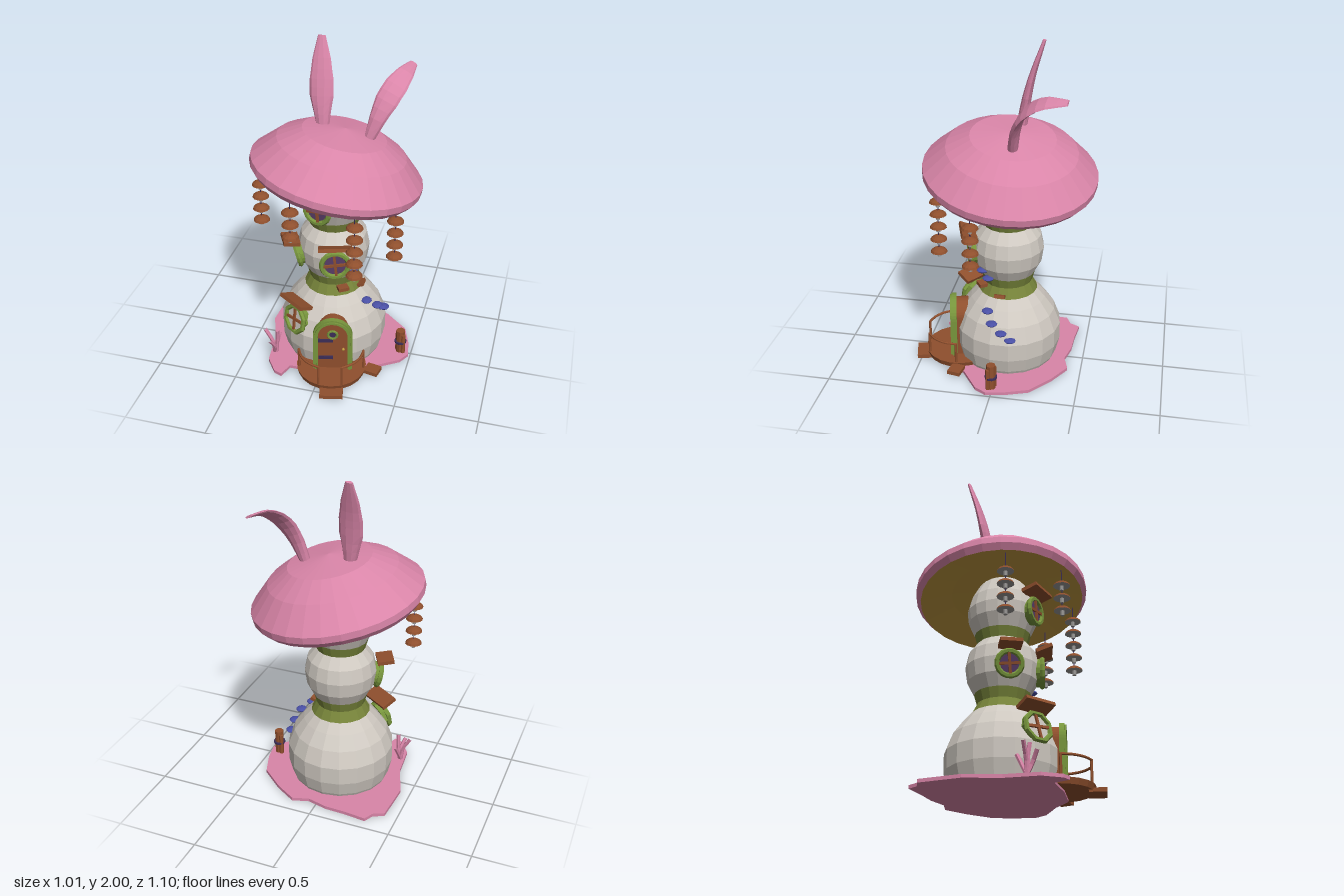
import * as THREE from 'three';

const mat = (name, color) => {
  const m = new THREE.MeshStandardMaterial({ color });
  m.name = name;
  return m;
};
const V = (x, y, z) => new THREE.Vector3(x, y, z);

export function createModel() {
  const root = new THREE.Group();
  root.name = 'mushroomTower';
  const pink = mat('pink', 0xd985a8), plaster = mat('plaster', 0xcfc9c1);
  const moss = mat('moss', 0x77843a), leaf = mat('leafGreen', 0x77953c);
  const wood = mat('wood', 0x8f4f2d), gill = mat('gill', 0xc0983f);
  const violet = mat('violet', 0x3b2d58), glass = mat('purpleGlass', 0x573c66);
  const blue = mat('blue', 0x4a50a6), grey = mat('grey', 0x9a9896);

  // faceted mesh helper
  const add = (parent, name, geo, material, x = 0, y = 0, z = 0, rx = 0, ry = 0, rz = 0) => {
    const g = geo.index ? geo.toNonIndexed() : geo;
    g.computeVertexNormals();
    const mesh = new THREE.Mesh(g, material);
    mesh.name = name;
    mesh.position.set(x, y, z);
    mesh.rotation.set(rx, ry, rz);
    parent.add(mesh);
    return mesh;
  };
  const group = (parent, name, x = 0, y = 0, z = 0) => {
    const g = new THREE.Group();
    g.name = name;
    g.position.set(x, y, z);
    parent.add(g);
    return g;
  };
  const box = (w, h, d) => new THREE.BoxGeometry(w, h, d);
  const cyl = (a, b, h, n = 8) => new THREE.CylinderGeometry(a, b, h, n);
  const lathe = (pts, n) => new THREE.LatheGeometry(pts.map(p => new THREE.Vector2(...p)), n);

  // ground plate with wavy outline, given as x, z
  const outline = [[.49, .03], [.47, -.08], [.42, -.22], [.28, -.34], [.15, -.42], [.05, -.39], [-.07, -.42],
    [-.2, -.425], [-.33, -.44], [-.36, -.38], [-.425, -.35], [-.44, -.1], [-.37, .1], [-.35, .3],
    [-.28, .4], [-.23, .42], [-.2, .33], [0, .33], [.2, .3], [.3, .2], [.45, .1]];
  const plate = new THREE.Shape(outline.map(([x, z]) => new THREE.Vector2(x, -z)));
  add(root, 'groundPlate', new THREE.ExtrudeGeometry(plate, { depth: .02, bevelEnabled: false }), pink, 0, 0, 0, -Math.PI / 2);

  // three bulging storeys joined by mossy necks
  const storeys = [
    ['lowerStorey', plaster, [[.29, .01], [.305, .04], [.327, .13], [.328, .24], [.29, .34], [.23, .42], [.18, .475]]],
    ['lowerNeck', moss, [[.18, .475], [.148, .535], [.165, .595]]],
    ['middleStorey', plaster, [[.165, .595], [.205, .67], [.218, .76], [.2, .845], [.148, .91]]],
    ['upperNeck', moss, [[.148, .91], [.166, .97]]],
    ['upperStorey', plaster, [[.166, .97], [.202, 1.05], [.21, 1.12], [.19, 1.2], [.145, 1.28], [.1, 1.35]]],
  ];
  for (const [name, m, pts] of storeys) add(root, name, lathe(pts, 18), m, -.01, 0, -.02);

  // tilted cap
  const cap = group(root, 'cap', -.007, 1.195, -.028);
  cap.quaternion.setFromUnitVectors(V(0, 1, 0), V(.18, 1, -.1).normalize());
  add(cap, 'capTop', lathe([[.487, 0], [.514, .035], [.514, .075], [.385, .207], [.25, .287], [0, .322]], 30), pink);
  add(cap, 'capUnderside', lathe([[0, .1], [.3, .06], [.487, 0]], 30), gill);

  // ears: oval cross-sections swept along a curve
  const ear = (name, path, side, widths, thick) => {
    const curve = new THREE.CatmullRomCurve3(path.map(p => V(...p)));
    const rings = 10, n = 10, pos = [], idx = [];
    const pick = (a, t) => {
      const f = t * (a.length - 1), i = Math.min(Math.floor(f), a.length - 2);
      return THREE.MathUtils.lerp(a[i], a[i + 1], f - i);
    };
    for (let i = 0; i <= rings; i++) {
      const t = i / rings, p = curve.getPoint(t), tan = curve.getTangent(t);
      const s = side.clone().addScaledVector(tan, -side.dot(tan)).normalize();
      const d = s.clone().cross(tan);
      for (let j = 0; j < n; j++) {
        const a = j / n * Math.PI * 2;
        const q = p.clone().addScaledVector(s, Math.cos(a) * pick(widths, t)).addScaledVector(d, Math.sin(a) * pick(thick, t));
        pos.push(q.x, q.y, q.z);
        if (i < rings) {
          const k = i * n + j, l = i * n + (j + 1) % n;
          idx.push(k, k + n, l, l, k + n, l + n);
        }
      }
    }
    for (let j = 1; j < n - 1; j++) idx.push(rings * n, rings * n + j + 1, rings * n + j);
    const g = new THREE.BufferGeometry();
    g.setAttribute('position', new THREE.Float32BufferAttribute(pos, 3));
    g.setIndex(idx);
    add(root, name, g, pink);
  };
  ear('uprightEar', [[-.09, 1.46, -.08], [-.105, 1.64, -.105], [-.115, 1.8, -.14], [-.13, 2, -.203]], V(1, 0, 0),
    [.032, .05, .071, .07, .054, .022], [.03, .03, .026, .021, .016, .01]);
  ear('foldedEar', [[.18, 1.44, -.075], [.235, 1.6, -.105], [.285, 1.71, -.16], [.335, 1.785, -.26], [.365, 1.807, -.4]],
    V(.85, -.45, .25).normalize(), [.03, .05, .068, .068, .05, .024], [.03, .027, .02, .014, .011, .007]);

  // windows with frame, cross bars and a wooden hood
  const windowAt = (name, a, r, y, R, pitch, sides, hoodTilt, hoodWidth, pane) => {
    const w = group(root, name, -.01 + Math.sin(a) * r, y, -.015 + Math.cos(a) * r);
    w.rotation.set(pitch, a, 0, 'YXZ');
    add(w, 'casing', cyl(R - .012, R - .012, .04, sides), leaf, 0, 0, -.02, Math.PI / 2);
    add(w, 'frame', new THREE.TorusGeometry(R - .014, .016, 6, sides), leaf, 0, 0, .003, 0, 0, Math.PI / sides);
    add(w, 'pane', new THREE.CircleGeometry(R - .02, sides), pane, 0, 0, .003);
    add(w, 'uprightBar', box(.016, 2 * R - .04, .014), wood, 0, 0, .007, 0, 0, .1);
    add(w, 'crossBar', box(2 * R - .04, .016, .014), wood, 0, 0, .007, 0, 0, .1);
    add(w, 'hood', box(hoodWidth, .022, .1), wood, 0, R + .026, .015, hoodTilt - pitch);
  };
  windowAt('lowerWindow', -.61, .308, .32, .1, -.2, 8, -.4, .2, plaster);
  windowAt('middleWindow', .3, .222, .735, .095, 0, 16, -.4, .2, glass);
  windowAt('sideWindow', -1.1, .224, .705, .085, .25, 16, -.1, .13, glass);
  windowAt('upperWindow', -.2, .212, 1.085, .09, 0, 16, -.25, .2, glass);

  // arched doorway
  const entry = group(root, 'entrance');
  entry.rotation.y = .225;
  const arch = (w, P = THREE.Shape) => {
    const s = new P();
    s.moveTo(-w, .035);
    s.lineTo(w, .035);
    s.lineTo(w, .295);
    s.absarc(0, .295, w, 0, Math.PI, false);
    s.lineTo(-w, .035);
    return s;
  };
  const extrude = (s, depth) => new THREE.ExtrudeGeometry(s, { depth, bevelEnabled: false, curveSegments: 10 });
  const archRing = (a, b) => {
    const s = arch(a);
    s.holes.push(arch(b, THREE.Path));
    return s;
  };
  add(entry, 'door', extrude(arch(.098), .11), wood, 0, 0, .21);
  add(entry, 'doorFrame', extrude(archRing(.12, .09), .03), leaf, 0, 0, .3);
  add(entry, 'doorFrameBead', extrude(archRing(.11, .098), .01), leaf, 0, 0, .33);
  add(entry, 'doorWindowFrame', new THREE.TorusGeometry(.028, .008, 6, 12), leaf, 0, .305, .323);
  add(entry, 'doorWindowPane', new THREE.CircleGeometry(.026, 12), violet, 0, .305, .323);
  for (const y of [.13, .26]) add(entry, 'hinge', box(.09, .022, .008), violet, -.043, y, .323);
  add(entry, 'doorKnob', new THREE.SphereGeometry(.01, 6, 5), gill, .065, .2, .328);

  // porch deck, steps and railing
  add(entry, 'deck', cyl(.215, .205, .035, 20), wood, -.01, .0305, .28);
  add(entry, 'frontStep', box(.14, .024, .1), wood, -.002, .013, .502);
  add(entry, 'sideStep', box(.08, .024, .09), wood, .245, .03, .31, 0, 1.15);
  for (const s of [-1, 1]) {
    const at = (a, y) => V(s * Math.sin(a) * .2 - .01, y, .285 + Math.cos(a) * .2);
    for (const a of [.36, 1.45]) {
      const p = at(a, .11);
      add(entry, 'railPost', cyl(.008, .008, .14, 6), wood, p.x, p.y, p.z);
    }
    const rail = new THREE.CatmullRomCurve3([.36, .72, 1.09, 1.45].map(a => at(a, .177)));
    add(entry, 'handrail', new THREE.TubeGeometry(rail, 10, .008, 6), wood);
  }

  // hanging chimes of small mushrooms with pale undersides
  const dome = [[.05, 0], [.044, .012], [.026, .024], [0, .03]];
  for (const [x, z, top, count] of [[-.415, .13, 1.175, 4], [-.155, .385, 1.17, 3], [.21, .355, 1.11, 5], [.395, .127, 1.05, 4]]) {
    const chime = group(root, 'hangingChime', x, 0, z);
    const ceiling = 1.24 - .18 * x + .1 * z, low = top - (count - 1) * .08;
    add(chime, 'cord', cyl(.003, .003, ceiling - low, 5), violet, 0, (ceiling + low) / 2, 0);
    for (let i = 0; i < count; i++) {
      const y = top - i * .08;
      add(chime, 'chimeCap', lathe(dome, 12), wood, 0, y, 0);
      add(chime, 'chimeGills', new THREE.CircleGeometry(.05, 12), grey, 0, y, 0, Math.PI / 2);
      add(chime, 'chimeStem', cyl(.012, .012, .03, 8), grey, 0, y - .014, 0);
    }
  }

  // shelf fungi climbing the wall
  for (const [x, y, z] of [[.14, .65, .11], [.145, .6, .075], [.22, .417, .065], [.28, .367, .03], [.3, .317, -.03], [.3, .275, -.085]])
    add(root, 'shelfFungus', new THREE.SphereGeometry(1, 10, 6), blue, x, y, z).scale.set(.034, .013, .036);
  add(root, 'wallPlank', box(.065, .022, .05), wood, .085, .525, .125, 0, .6);
  add(root, 'wallPlank', box(.05, .02, .065), wood, .165, .493, 0, 0, 0, .4);

  // tied log post
  const post = group(root, 'logPost', .432, 0, .005);
  add(post, 'log', cyl(.028, .028, .16, 8), wood, 0, .098, 0);
  for (const s of [-1, 1]) add(post, 'sideLog', cyl(.015, .015, .14, 6), wood, s * .02, .085, .015 * s);
  add(post, 'tie', cyl(.038, .038, .012, 10), violet, 0, .095, 0);

  // branching sprig
  const sprig = group(root, 'sprig', -.335, .015, .22);
  const twigs = [[[0, 0, 0], [-.01, .08, 0], [-.06, .17, 0]], [[.01, 0, 0], [.02, .1, 0], [.025, .18, .01]],
    [[0, 0, 0], [.01, .07, .03], [-.01, .13, .06]], [[0, 0, 0], [.01, .06, -.03], [.02, .12, -.06]]];
  for (const t of twigs)
    add(sprig, 'twig', new THREE.TubeGeometry(new THREE.CatmullRomCurve3(t.map(p => V(...p))), 5, .012, 6), pink);

  return root;
}
